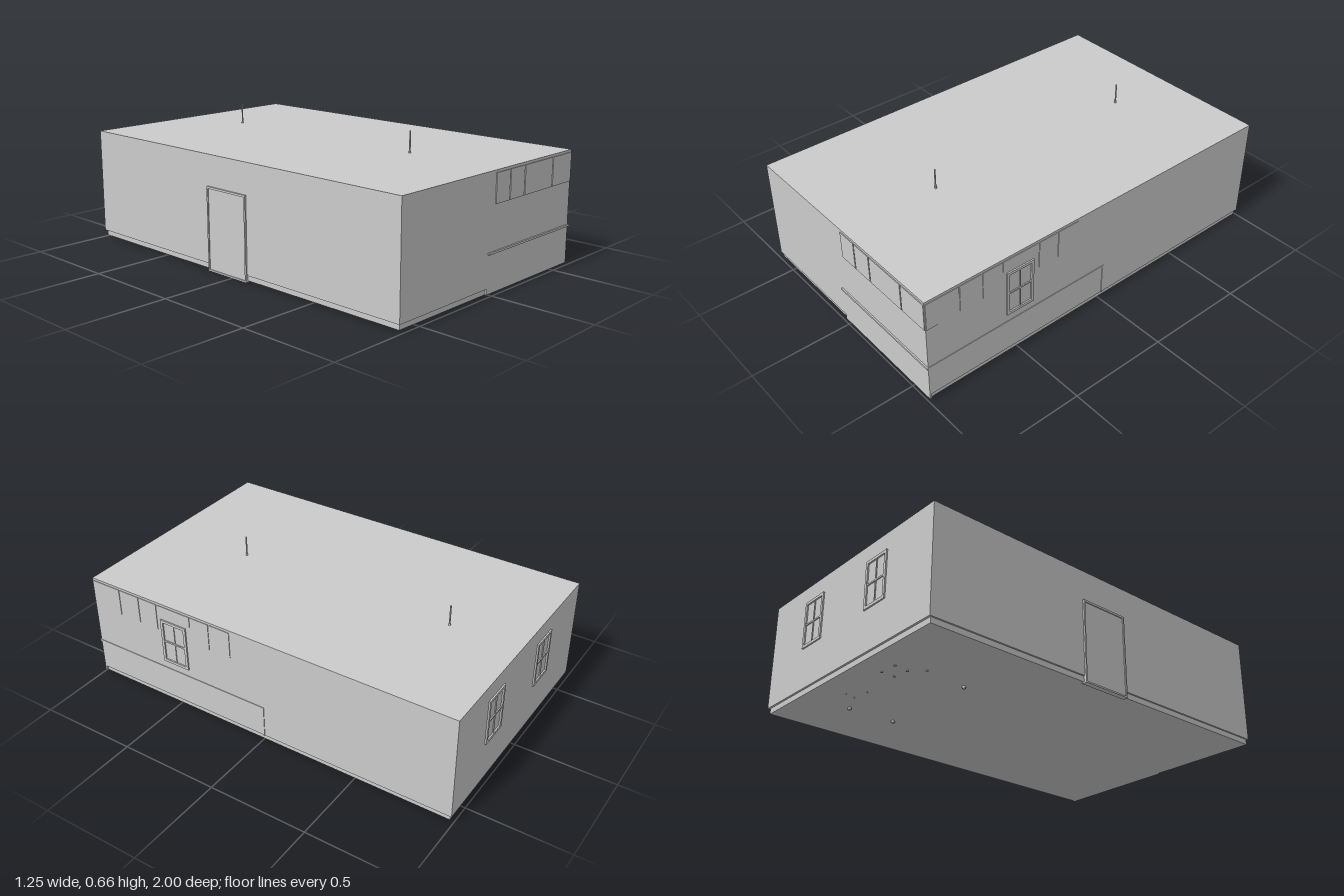
import * as THREE from 'three';

const mat = new THREE.MeshStandardMaterial({ color: 0xcccccc });

// Box given by its minimum and maximum corners
function block(parent, name, [x0, y0, z0], [x1, y1, z1]) {
  const mesh = new THREE.Mesh(new THREE.BoxGeometry(x1 - x0, y1 - y0, z1 - z0), mat);
  mesh.position.set((x0 + x1) / 2, (y0 + y1) / 2, (z0 + z1) / 2);
  mesh.name = name;
  parent.add(mesh);
  return mesh;
}

function rod(parent, name, r, x, y0, y1, z, sides = 12) {
  const mesh = new THREE.Mesh(new THREE.CylinderGeometry(r, r, y1 - y0, sides), mat);
  mesh.position.set(x, (y0 + y1) / 2, z);
  mesh.name = name;
  parent.add(mesh);
}

// Window facing +z, centred on its origin: frame with a hole, and glazing bars
function makeWindow(name) {
  const g = new THREE.Group();
  g.name = name;
  const w = 0.15, h = 0.235, t = 0.014;
  const shape = new THREE.Shape([[-1, -1], [1, -1], [1, 1], [-1, 1]].map(([x, y]) => new THREE.Vector2(x * w / 2, y * h / 2)));
  shape.holes.push(new THREE.Path([[-1, -1], [-1, 1], [1, 1], [1, -1]].map(([x, y]) => new THREE.Vector2(x * (w / 2 - t), y * (h / 2 - t)))));
  const frame = new THREE.Mesh(new THREE.ExtrudeGeometry(shape, { depth: 0.007, bevelEnabled: false }), mat);
  frame.name = 'windowFrame';
  g.add(frame);
  block(g, 'meetingRail', [-w / 2 + t, -0.004, 0], [w / 2 - t, 0.004, 0.005]);
  block(g, 'glazingBar', [-0.003, -h / 2 + t, 0], [0.003, h / 2 - t, 0.004]);
  return g;
}

export function createModel() {
  const model = new THREE.Group();
  const X = 0.618, Z = 0.993, TOP = 0.56, LOW = 0.01, SKIRT = 0.037;

  // Main volume on a slightly recessed base
  block(model, 'walls', [-X, SKIRT, -Z], [X, TOP, Z]);
  block(model, 'base', [-X + 0.008, LOW, -Z + 0.01], [X - 0.008, SKIRT, Z - 0.008]);
  block(model, 'frontLowerWall', [-0.03, LOW, Z - 0.01], [X, SKIRT, Z]);

  // Ledge round the front corner, ending in a strip to the ground
  block(model, 'frontLedge', [-0.03, 0.19, Z], [X + 0.003, 0.2, 1]);
  block(model, 'sideLedge', [X, 0.19, -0.01], [X + 0.003, 0.2, Z]);
  block(model, 'ledgeEndStrip', [X, SKIRT, -0.015], [X + 0.003, 0.2, -0.007]);

  // Band of shallow panels under the roof, round the same corner
  const gap = 0.003;
  const frontSplits = [0.01, 0.117, 0.23, 0.457, X];
  for (let i = 0; i < frontSplits.length - 1; i++) {
    block(model, 'frontBandPanel', [frontSplits[i] + gap, 0.41, Z], [frontSplits[i + 1] - gap, 0.548, Z + 0.004]);
  }
  const sideSplits = [0.16, 0.28, 0.39, 0.59, 0.7, 0.82, Z];
  for (let i = 0; i < sideSplits.length - 1; i++) {
    const bottom = i === 2 ? 0.492 : 0.41; // short panel over the window
    block(model, 'sideBandPanel', [X, bottom, sideSplits[i] + gap], [X + 0.003, 0.548, sideSplits[i + 1] - gap]);
  }

  // Windows: two at the back, one on the left side
  for (const x of [-0.227, 0.265]) {
    const win = makeWindow('backWindow');
    win.position.set(x, 0.358, -Z);
    win.rotation.y = Math.PI;
    model.add(win);
  }
  const sideWindow = makeWindow('sideWindow');
  sideWindow.position.set(X, 0.358, 0.495);
  sideWindow.rotation.y = Math.PI / 2;
  model.add(sideWindow);

  // Door with casing and threshold on the right side
  const d0 = -0.155, d1 = 0.105, dx = -X - 0.008;
  block(model, 'door', [-X - 0.003, 0.01, d0], [-X + 0.005, 0.4, d1]);
  for (const z of [d0, d1 - 0.008]) block(model, 'doorJamb', [dx, 0.008, z], [-X, 0.41, z + 0.008]);
  block(model, 'doorHead', [dx, 0.4, d0], [-X, 0.41, d1]);
  block(model, 'threshold', [dx, 0.004, d0], [-0.6, 0.012, d1]);

  // Roof vent pipes
  for (const z of [0.5, -0.64]) {
    rod(model, 'roofPipe', 0.0038, 0.037, TOP, 0.663, z);
    rod(model, 'pipeCollar', 0.0055, 0.037, TOP, TOP + 0.008, z);
  }

  // Pipe stubs under the floor
  const stubs = [
    [0.3, -0.75, 0.009], [0.3, -0.51, 0.009], [-0.23, -0.51, 0.009],
    [-0.118, -0.865, 0.006], [-0.208, -0.86, 0.006], [-0.117, -0.8, 0.006], [-0.2, -0.79, 0.006],
    [-0.256, -0.73, 0.006], [0.187, -0.8, 0.003], [0.1, -0.79, 0.003], [0.174, -0.85, 0.003],
  ];
  for (const [x, z, r] of stubs) rod(model, 'floorStub', r, x, r > 0.008 ? 0 : 0.006, 0.015, z);

  return model;
}
